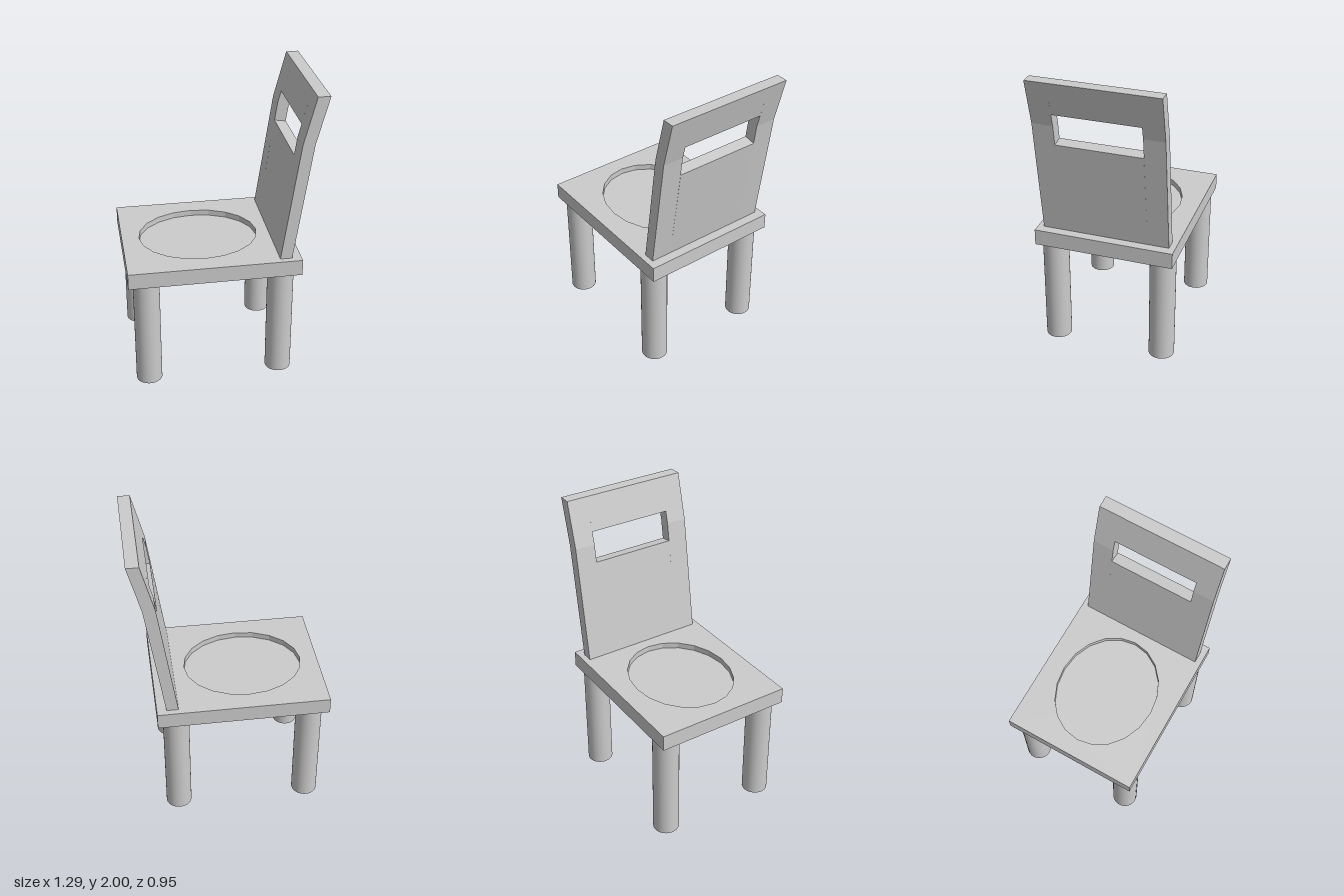
import * as THREE from 'three';

const material = new THREE.MeshStandardMaterial({ color: 0xcccccc });

function add(parent, name, geometry, x = 0, y = 0, z = 0) {
  const mesh = new THREE.Mesh(geometry, material);
  mesh.name = name;
  mesh.position.set(x, y, z);
  parent.add(mesh);
  return mesh;
}

const polygon = (points) => new THREE.Shape(points.map(([x, y]) => new THREE.Vector2(x, y)));

// Side profile (x, y) extruded along z between z0 and z1
function slab(points, z0, z1) {
  const geometry = new THREE.ExtrudeGeometry(polygon(points), { depth: z1 - z0, bevelEnabled: false });
  return geometry.translate(0, 0, z0);
}

export function createModel() {
  const chair = new THREE.Group();
  chair.name = 'chair';

  // Legs: four plain round posts
  const legHeight = 0.77;
  for (const [end, x] of [['front', -0.522], ['back', 0.378]]) {
    for (const [side, z] of [['A', 0.377], ['B', -0.377]]) {
      add(chair, `${end}Leg${side}`, new THREE.CylinderGeometry(0.088, 0.088, legHeight, 32), x, legHeight / 2, z);
    }
  }

  // Seat: solid base below a plate with an oval cut-out, forming a shallow hollow
  const seat = new THREE.Group();
  seat.name = 'seat';
  chair.add(seat);
  const [x0, x1, halfZ] = [-0.645, 0.505, 0.473];
  const seatTop = 0.88, hollowDepth = 0.04;
  const baseHeight = seatTop - hollowDepth - legHeight;
  add(seat, 'seatBase', new THREE.BoxGeometry(x1 - x0, baseHeight, halfZ * 2), (x0 + x1) / 2, legHeight + baseHeight / 2, 0);

  const outline = polygon([[x0, -halfZ], [x1, -halfZ], [x1, halfZ], [x0, halfZ]]);
  const oval = [];
  for (let i = 0; i < 20; i++) {
    const a = (i / 20) * Math.PI * 2;
    oval.push(new THREE.Vector2(-0.123 + 0.405 * Math.cos(a), 0.341 * Math.sin(a)));
  }
  outline.holes.push(new THREE.Path(oval));
  const plate = new THREE.ExtrudeGeometry(outline, { depth: hollowDepth, bevelEnabled: false });
  plate.rotateX(-Math.PI / 2);
  add(seat, 'seatRim', plate, 0, seatTop - hollowDepth, 0);

  // Backrest: bent panel around a rectangular hand slot
  const back = new THREE.Group();
  back.name = 'backrest';
  chair.add(back);
  const w = 0.432, slot = 0.29;
  const bottom = [[0.362, 0.88], [0.441, 0.88]];
  const bend = [[0.479, 1.685], [0.56, 1.685]];
  const top = [[0.561, 2], [0.643, 2]];
  const slotFloor = [[0.461, 1.56], [0.541, 1.548]];
  const slotCeiling = [[0.501, 1.77], [0.582, 1.77]];
  const stile = [bottom[0], bottom[1], bend[1], top[1], top[0], bend[0]];
  add(back, 'backStileA', slab(stile, slot, w));
  add(back, 'backStileB', slab(stile, -w, -slot));
  add(back, 'backPanel', slab([bottom[0], bottom[1], slotFloor[1], slotFloor[0]], -slot, slot));
  add(back, 'topRail', slab([slotCeiling[0], slotCeiling[1], top[1], top[0]], -slot, slot));

  return chair;
}
